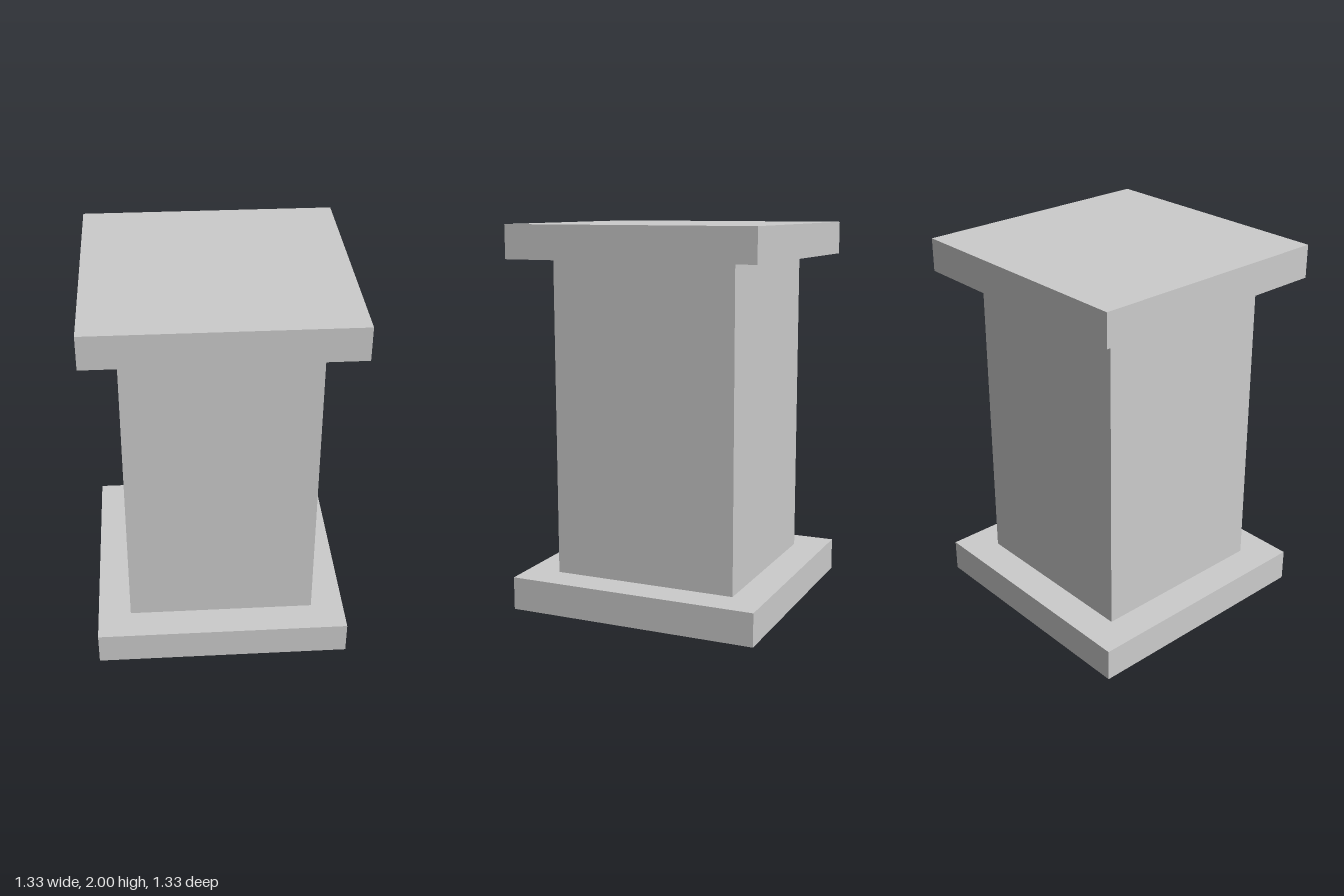
import * as THREE from 'three';

const SLAB_WIDTH = 1.333;
const SLAB_HEIGHT = 0.173;
const SHAFT_WIDTH = 0.985;
const HEIGHT = 2;

export function createModel() {
  const group = new THREE.Group();
  group.name = 'pedestal';
  const material = new THREE.MeshStandardMaterial({ color: 0xcccccc });

  // Square block standing on the given height
  const addBlock = (name, width, height, bottom) => {
    const mesh = new THREE.Mesh(new THREE.BoxGeometry(width, height, width), material);
    mesh.name = name;
    mesh.position.y = bottom + height / 2;
    group.add(mesh);
  };

  addBlock('base', SLAB_WIDTH, SLAB_HEIGHT, 0);
  addBlock('shaft', SHAFT_WIDTH, HEIGHT - 2 * SLAB_HEIGHT, SLAB_HEIGHT);
  addBlock('cap', SLAB_WIDTH, SLAB_HEIGHT, HEIGHT - SLAB_HEIGHT);

  return group;
}
